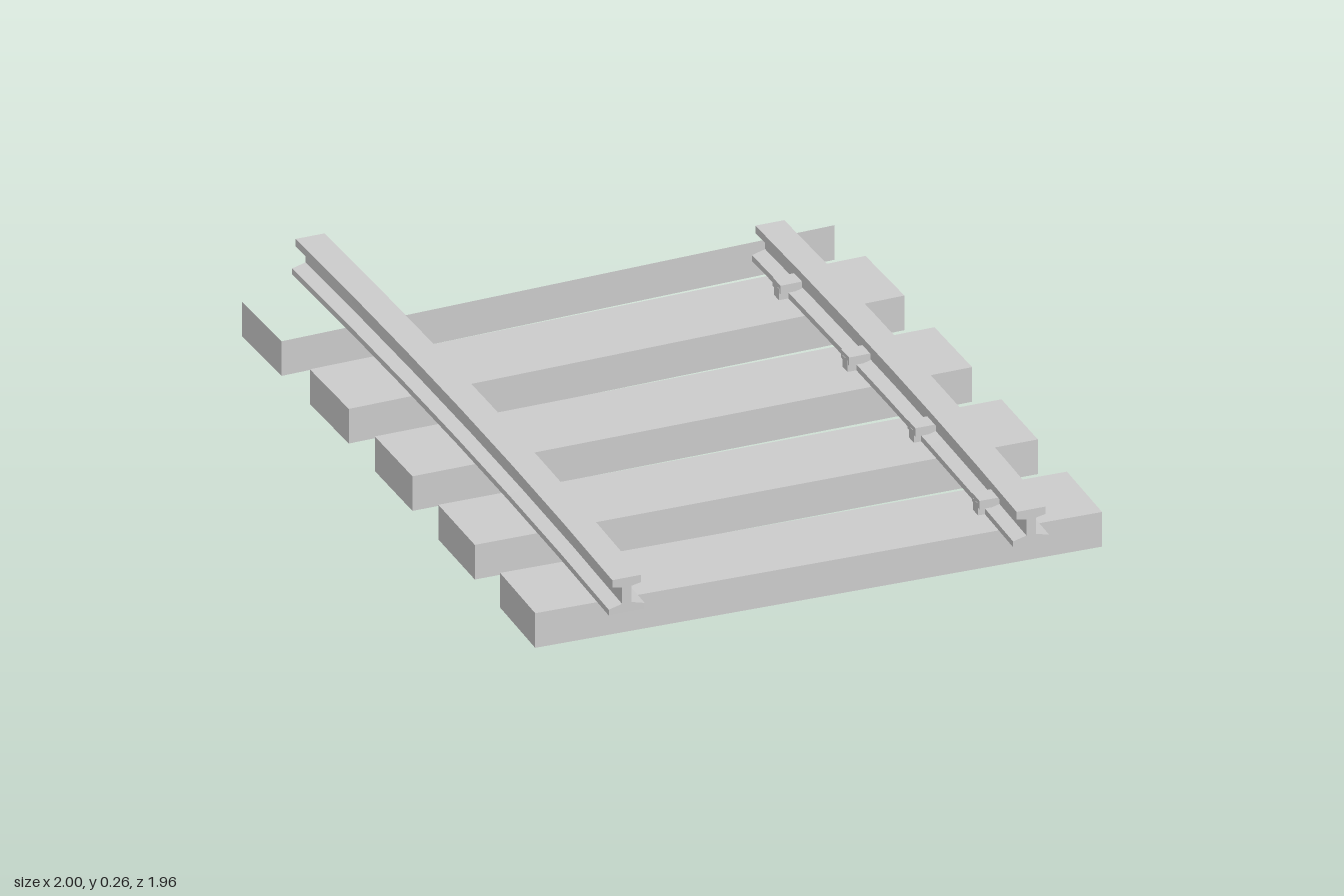
import * as THREE from 'three';

const TIE = { length: 1.437, width: 0.215, height: 0.09 };
const SLOPE = 0.0435;
const rad = THREE.MathUtils.degToRad;

// Height of the climbing track bed at a point on the plan
const bedHeight = (x, z) => SLOPE * (-0.39 * x - 0.92 * z + 0.795);

export function createModel() {
  const model = new THREE.Group();
  const material = new THREE.MeshStandardMaterial({ color: 0xcccccc, flatShading: true });
  const thin = material.clone();
  thin.side = THREE.DoubleSide;

  // Turns a level part, moves it into plan position and shears it onto the slope
  function place(name, geometry, x, z, degrees, mat = material) {
    geometry.rotateY(rad(degrees)).translate(x, 0, z);
    const p = geometry.attributes.position;
    for (let i = 0; i < p.count; i++) p.setY(i, p.getY(i) + bedHeight(p.getX(i), p.getZ(i)));
    geometry.computeVertexNormals();
    const mesh = new THREE.Mesh(geometry, mat);
    mesh.name = name;
    model.add(mesh);
  }

  // Cross ties, fanned slightly along the curve
  const ties = [[0.289, 0.602, 21.6], [0.147, 0.254, 22.5], [0.001, -0.094, 23.3], [-0.149, -0.437, 24.2]];
  for (const [x, z, angle] of ties) {
    const g = new THREE.BoxGeometry(TIE.length, TIE.height, TIE.width);
    place('tie', g.translate(0, TIE.height / 2, 0), x, z, angle);
  }

  // Open last tie: only its front face and one end
  const last = [-0.305, -0.778, 24.8];
  const face = new THREE.PlaneGeometry(TIE.length, TIE.height);
  place('lastTieFront', face.translate(0, TIE.height / 2, TIE.width / 2), ...last, thin);
  const end = new THREE.PlaneGeometry(TIE.width, TIE.height).rotateY(-Math.PI / 2);
  place('lastTieEnd', end.translate(-TIE.length / 2, TIE.height / 2, 0), ...last, thin);

  // Rail cross-section: foot, web and head, mirrored about the centre
  const half = [[0.046, 0], [0.046, 0.015], [0.012, 0.024], [0.012, 0.066], [0.037, 0.071], [0.037, 0.09]];
  const outline = [...half, ...half.map(([x, y]) => [-x, y]).reverse()];
  const profile = new THREE.Shape(outline.map(([x, y]) => new THREE.Vector2(x, y + TIE.height)));

  function addRail(name, x, z, angle, length) {
    const g = new THREE.ExtrudeGeometry(profile, { depth: length, steps: 6, bevelEnabled: false });
    g.translate(0, 0, -length / 2);
    // Gentle bend along the length
    const p = g.attributes.position;
    for (let i = 0; i < p.count; i++) {
      p.setX(i, p.getX(i) + 0.019 * (length * length / 4 - p.getZ(i) ** 2));
    }
    place(name, g, x, z, angle);
  }
  addRail('rightRail', -0.4825, 0.1125, 22.95, 1.834);
  addRail('leftRail', 0.533, -0.109, 22.6, 1.535);

  // Spikes on the inner side of each rail: a head over the foot and a stem into the tie
  function addSpike(x, z, angle, side) {
    const head = new THREE.BoxGeometry(0.055, 0.022, 0.045);
    place('spikeHead', head.translate(-side * 0.012, TIE.height + 0.03, 0), x, z, angle);
    const stem = new THREE.BoxGeometry(0.026, 0.12, 0.03);
    place('spikeStem', stem.translate(side * 0.003, 0.06, 0), x, z, angle);
  }
  const rightSpikes = [[-0.14, 0.77], [-0.275, 0.43], [-0.42, 0.08], [-0.57, -0.25], [-0.72, -0.59]];
  const leftSpikes = [[0.715, 0.44], [0.57, 0.08], [0.42, -0.27], [0.265, -0.625]];
  rightSpikes.forEach(([x, z], i) => addSpike(x, z, 21.6 + 0.8 * i, 1));
  leftSpikes.forEach(([x, z], i) => addSpike(x, z, 21.6 + 0.8 * i, -1));

  return model;
}
